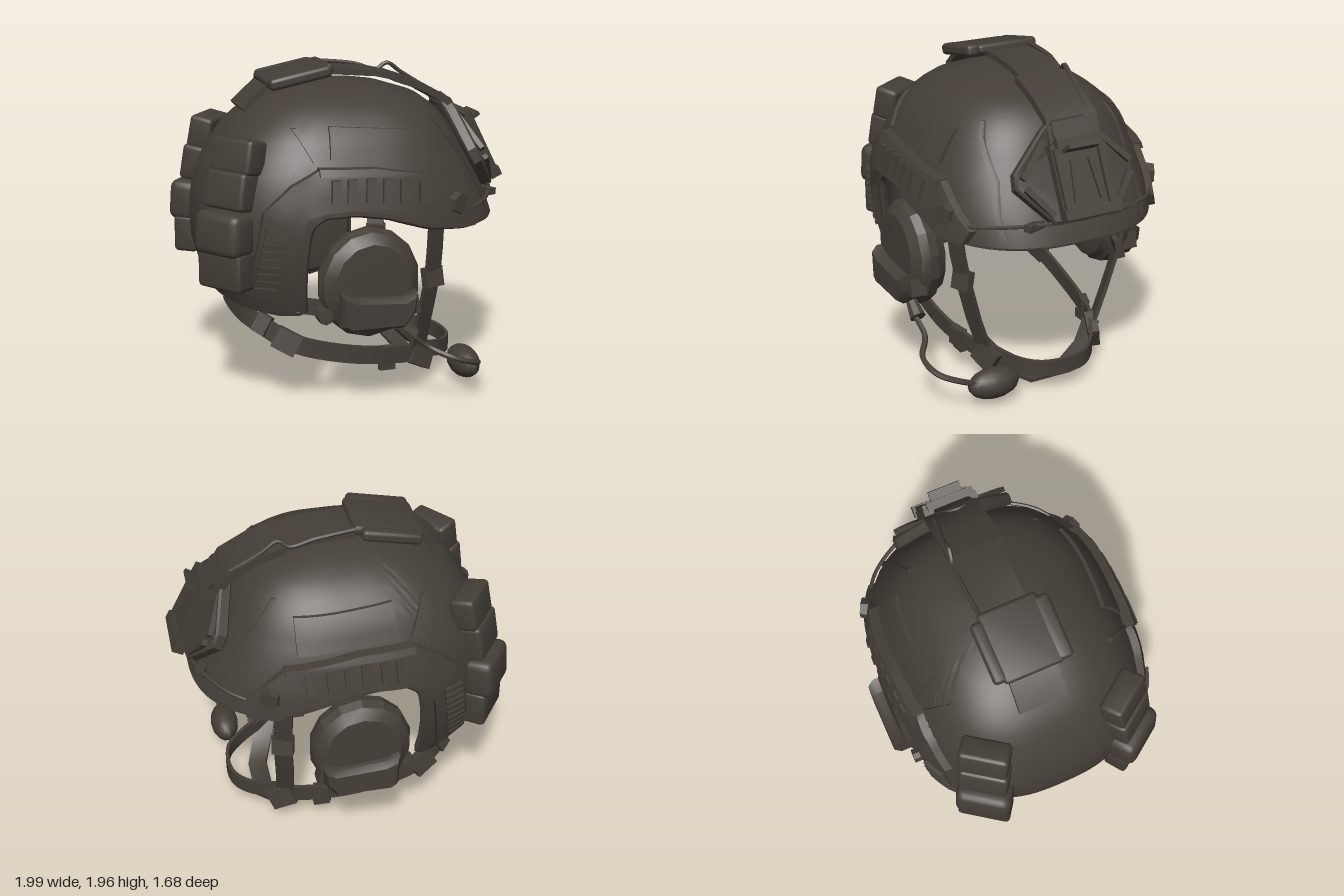
import * as THREE from 'three';
import { toCreasedNormals } from 'three/addons/utils/BufferGeometryUtils.js';
import { RoundedBoxGeometry } from 'three/addons/geometries/RoundedBoxGeometry.js';

const V = (p) => new THREE.Vector3(...p);
const TOP = 1.87, N = 2.65;

// Shell sections: height, back x, front x, half width
const SECTIONS = [
  [0.55, -0.76, 0.9, 0.66], [0.7, -0.84, 0.92, 0.69], [0.9, -0.9, 0.92, 0.72], [1.07, -0.91, 0.91, 0.73],
  [1.2, -0.9, 0.86, 0.725], [1.4, -0.84, 0.75, 0.68], [1.6, -0.71, 0.64, 0.585], [1.7, -0.6, 0.56, 0.5],
  [1.77, -0.49, 0.46, 0.41], [1.83, -0.33, 0.27, 0.27], [1.862, -0.17, 0.08, 0.13], [TOP, -0.03, -0.03, 0]];
// Lower edge height by x: neck guard, ear arch, brow
const RIM = [[-0.92, 0.655], [-0.8, 0.62], [-0.64, 0.6], [-0.49, 0.61], [-0.38, 1.12], [-0.3, 1.19],
  [-0.1, 1.2], [0.1, 1.17], [0.35, 1.09], [0.6, 1.06], [0.92, 1.06]];

function lookup(table, key) {
  let i = 0;
  while (i < table.length - 2 && key > table[i + 1][0]) i++;
  const a = table[i], b = table[i + 1];
  const t = THREE.MathUtils.clamp((key - a[0]) / (b[0] - a[0]), 0, 1);
  return a.slice(1).map((v, k) => v + (b[k + 1] - v) * t);
}
const spow = (v) => Math.sign(v) * Math.abs(v) ** (2 / N);
function shellPoint(angle, y, inset = 0) {
  const [xb, xf, w] = lookup(SECTIONS, y);
  const k = Math.max(0, 1 - inset / Math.max(w, 0.05));
  return [(xb + xf) / 2 + (xf - xb) / 2 * k * spow(Math.cos(angle)), y - inset * (y > 1.6 ? (y - 1.6) / 0.275 : 0),
    w * k * spow(Math.sin(angle))];
}
function shellZ(x, y) {
  const [xb, xf, w] = lookup(SECTIONS, y);
  const u = Math.min(1, Math.abs(x - (xb + xf) / 2) / ((xf - xb) / 2));
  return w * (1 - u ** N) ** (1 / N);
}
const rimAt = (angle) => lookup(RIM, shellPoint(angle, 1.07)[0])[0];

function build(positions, index) {
  const g = new THREE.BufferGeometry();
  g.setAttribute('position', new THREE.Float32BufferAttribute(positions, 3));
  g.setIndex(index);
  return g;
}

// Outer skin, rolled lower edge and inner skin as one surface
function shellGeometry() {
  const seg = 160, rows = 16, pos = [], idx = [], rings = 2 * rows + 2;
  for (let r = 0; r < rings; r++) {
    const inner = r > rows, s = (inner ? rings - 1 - r : r) / rows;
    for (let j = 0; j < seg; j++) {
      const a = j / seg * Math.PI * 2;
      pos.push(...shellPoint(a, TOP - (TOP - rimAt(a)) * s ** 1.8, inner ? 0.04 : 0));
    }
  }
  for (let r = 0; r < rings - 1; r++) for (let j = 0; j < seg; j++) {
    const a = r * seg + j, b = r * seg + (j + 1) % seg;
    idx.push(a, b, a + seg, b, b + seg, a + seg);
  }
  return build(pos, idx);
}

// Raised plate hugging the shell side; pairs are [inner, outer] edge points in x, y
function band(pairs, lift, cols = 4) {
  const n = pairs.length - 1;
  const g = new THREE.BoxGeometry(1, 1, 1, n * cols, 3, 1), p = g.attributes.position;
  for (let i = 0; i < p.count; i++) {
    const u = (p.getX(i) + 0.5) * n, k = Math.min(n - 1, Math.floor(u + 1e-6)), t = u - k, v = p.getY(i) + 0.5;
    const mix = (c) => {
      const lo = pairs[k][0][c] * (1 - t) + pairs[k + 1][0][c] * t;
      const hi = pairs[k][1][c] * (1 - t) + pairs[k + 1][1][c] * t;
      return lo + (hi - lo) * v;
    };
    const x = mix(0), y = mix(1);
    p.setXYZ(i, x, y, shellZ(x, y) + (p.getZ(i) > 0 ? lift : -0.015));
  }
  return g;
}
const rect = (x, y, w, h, lean = 0) => [
  [[x - w / 2, y - h / 2], [x - w / 2 + lean, y + h / 2]], [[x + w / 2, y - h / 2], [x + w / 2 + lean, y + h / 2]]];

// Flat webbing swept along points, widthDir across it
function strap(points, widthDir, w, t, smooth = 0) {
  let pts = points.map(V);
  if (smooth) pts = new THREE.CatmullRomCurve3(pts).getPoints(smooth);
  const pos = [], idx = [], W = V(widthDir).normalize();
  pts.forEach((p, i) => {
    const T = pts[Math.min(i + 1, pts.length - 1)].clone().sub(pts[Math.max(i - 1, 0)]).normalize();
    const across = W.clone().addScaledVector(T, -W.dot(T)).normalize(), nrm = T.clone().cross(across);
    for (const [a, b] of [[-1, -1], [1, -1], [1, 1], [-1, 1]])
      pos.push(...p.clone().addScaledVector(across, a * w / 2).addScaledVector(nrm, b * t / 2).toArray());
    if (i) for (let k = 0; k < 4; k++) {
      const a = (i - 1) * 4 + k, b = (i - 1) * 4 + (k + 1) % 4;
      idx.push(a, b, b + 4, a, b + 4, a + 4);
    }
  });
  const e = pos.length / 3 - 4;
  idx.push(0, 2, 1, 0, 3, 2, e, e + 1, e + 2, e, e + 2, e + 3);
  return build(pos, idx);
}
const tube = (points, r, n = 32) => new THREE.TubeGeometry(new THREE.CatmullRomCurve3(points.map(V)), n, r, 6);
const box = (x, y, z) => new THREE.BoxGeometry(x, y, z);
const soft = (x, y, z, r = 0.025) => new RoundedBoxGeometry(x, y, z, 2, r);
const mirrorPath = (half) => [...half, ...half.slice().reverse().map(([x, y, z]) => [x, y, -z])];

export function createModel() {
  const helmet = new THREE.Group();
  helmet.name = 'helmet';
  const olive = new THREE.MeshStandardMaterial({ color: 0x443e37 });
  olive.name = 'dark olive';
  const add = (parent, name, geo, pos = [0, 0, 0], rot = [0, 0, 0], crease = 0.6) => {
    const m = new THREE.Mesh(toCreasedNormals(geo, crease), olive);
    m.name = name;
    m.position.set(...pos);
    m.rotation.set(...rot, 'ZYX');
    parent.add(m);
    return m;
  };

  add(helmet, 'shell', shellGeometry());
  const rim = Array.from({ length: 120 }, (_, i) => {
    const a = i / 120 * Math.PI * 2;
    return V(shellPoint(a, rimAt(a), 0.02));
  });
  add(helmet, 'rimTrim', new THREE.TubeGeometry(new THREE.CatmullRomCurve3(rim, true), 200, 0.024, 6, true));

  for (const side of [1, -1]) {
    const half = new THREE.Group();
    half.name = side > 0 ? 'leftSide' : 'rightSide';
    half.scale.z = side;
    helmet.add(half);

    // Accessory rail with slots, rungs and bolt
    add(half, 'rail', band([[[-0.5, 0.67], [-0.71, 0.72]], [[-0.45, 1.05], [-0.63, 1.22]], [[-0.4, 1.19], [-0.47, 1.37]],
      [[-0.3, 1.22], [-0.32, 1.45]], [[0, 1.23], [0, 1.43]], [[0.4, 1.11], [0.42, 1.37]],
      [[0.47, 1.07], [0.6, 1.2]], [[0.64, 1.06], [0.67, 1.14]]], 0.045));
    [-0.24, -0.15, -0.04, 0.06, 0.16, 0.28].forEach((x) =>
      add(half, 'railSlot', band(rect(x, 1.335 - 0.1 * Math.max(0, x), 0.055, 0.13, 0.01), 0.07)));
    add(half, 'railLip', band([[[-0.32, 1.42], [-0.32, 1.46]], [[0, 1.41], [0, 1.45]], [[0.42, 1.34], [0.42, 1.38]]], 0.065));
    for (let i = 0; i < 9; i++)
      add(half, 'railRung', band(rect(-0.62 + i * 0.007, 0.76 + i * 0.046, 0.12, 0.026), 0.07));
    add(half, 'railBolt', new THREE.CylinderGeometry(0.06, 0.07, 0.06, 6), [0.51, 1.21, shellZ(0.51, 1.21) + 0.04], [Math.PI / 2, 0.5, 0]);

    // Fabric panel and raised shell seams
    add(half, 'sidePanel', band([[[-0.24, 1.5], [-0.22, 1.67]], [[0.34, 1.44], [0.34, 1.63]]], 0.022, 8));
    add(half, 'rearSeam', band([[[-0.31, 1.48], [-0.335, 1.48]], [[-0.4, 1.66], [-0.425, 1.66]]], 0.02));
    add(half, 'frontSeam', band([[[0.8, 1.1], [0.78, 1.1]], [[0.66, 1.4], [0.64, 1.4]], [[0.44, 1.69], [0.42, 1.69]]], 0.012));

    // Stacked rear pouches, facing back and outward
    const pouch = new THREE.Group();
    pouch.name = 'rearPouch';
    pouch.position.set(-0.78, 0, 0.45);
    pouch.rotation.y = -0.95;
    half.add(pouch);
    add(pouch, 'pouchUpper', soft(0.29, 0.2, 0.15), [0.02, 1.51, -0.06], [-0.2, 0, 0]);
    add(pouch, 'pouchMiddle', soft(0.29, 0.22, 0.15), [0.01, 1.32, -0.01], [-0.18, 0, 0]);
    add(pouch, 'pouchLower', soft(0.33, 0.25, 0.19, 0.05), [0, 1.08, 0.05], [-0.08, 0, 0]);
    add(pouch, 'pouchBase', soft(0.32, 0.23, 0.15), [0, 0.87, 0.04]);

    // Ear cup with battery housing
    const cup = new THREE.LatheGeometry([[0, 0.53], [0.17, 0.53], [0.26, 0.55], [0.29, 0.6], [0.31, 0.61], [0.32, 0.67],
      [0.3, 0.72], [0.24, 0.765], [0, 0.775]].map((q) => new THREE.Vector2(...q)), 14);
    cup.rotateX(Math.PI / 2);
    add(half, 'earCup', cup.scale(0.96, 1.03, 1), [-0.02, 0.775, 0], [0, 0, 0], 0.4);
    const house = new THREE.ExtrudeGeometry(new THREE.Shape([[-0.18, -0.08], [-0.15, -0.1], [0.16, -0.1], [0.22, -0.02],
      [0.23, 0.06], [0.17, 0.03], [-0.12, 0.05], [-0.19, 0.08]].map((q) => new THREE.Vector2(...q))),
    { depth: 0.12, bevelSize: 0.025, bevelThickness: 0.04, bevelSegments: 1 });
    add(half, 'batteryHousing', house, [-0.02, 0.65, 0.68]);
    add(half, 'cupKnob', new THREE.CylinderGeometry(0.045, 0.045, 0.1, 8), [-0.3, 0.61, 0.7], [Math.PI / 2, 0, 0]);
    add(half, 'cupHinge', box(0.08, 0.11, 0.1), [0.21, 0.65, 0.74], [0, 0, 0.2]);

    // Chin strap webbing and buckles
    add(half, 'frontStrap', strap([[0.42, 1.12, 0.59], [0.42, 0.9, 0.565], [0.42, 0.72, 0.53], [0.4, 0.45, 0.455], [0.39, 0.2, 0.37]], [0.92, 0, -0.38], 0.11, 0.022));
    add(half, 'strapBuckle', box(0.13, 0.12, 0.05), [0.42, 0.73, 0.535], [-0.2, 0.35, 0]);
    add(half, 'chinBuckle', box(0.16, 0.15, 0.07), [0.41, 0.19, 0.37], [-0.3, 0.3, -0.5]);
    add(half, 'sideBuckle', box(0.15, 0.13, 0.06), [-0.46, 0.39, 0.465], [0, -0.35, -0.5]);
    add(half, 'napeBuckle', box(0.09, 0.12, 0.05), [-0.59, 0.49, 0.4], [0, -0.7, -0.5]);
    add(half, 'strapSlider', box(0.1, 0.12, 0.05), [0.17, 0.23, 0.45], [0, 0.3, -0.12]);
    add(half, 'strapTail', box(0.1, 0.06, 0.04), [0.17, 0.17, 0.44]);

    // Elastic cord along the brow
    add(half, 'browCord', tube([[0.5, 1.14, shellZ(0.5, 1.14) + 0.03], [0.72, 1.17, shellZ(0.72, 1.17) + 0.03], [0.87, 1.19, 0.29], [0.92, 1.2, 0.13]], 0.012));
    add(half, 'cordClip', box(0.05, 0.04, 0.12), [0.85, 1.18, 0.3], [0, 0.35, 0]);
  }

  // Nape loop and chin straps
  add(helmet, 'napeStrap', strap(mirrorPath([[0.42, 0.2, 0.37], [0.2, 0.23, 0.44], [-0.1, 0.28, 0.48], [-0.42, 0.375, 0.47],
    [-0.59, 0.48, 0.4], [-0.66, 0.515, 0.28], [-0.68, 0.52, 0.1]]), [0.15, 1, 0], 0.11, 0.022, 56));
  add(helmet, 'chinStrap', strap(mirrorPath([[0.4, 0.22, 0.36], [0.58, 0.175, 0.25], [0.68, 0.165, 0.12]]), [0, 1, 0], 0.1, 0.022, 24));
  add(helmet, 'chinCup', strap(mirrorPath([[0.38, 0.24, 0.38], [0.43, 0.11, 0.29], [0.49, 0.03, 0.13]]), [1, -0.25, 0], 0.12, 0.022));

  // Boom microphone on the left cup
  add(helmet, 'micBoom', tube([[0.14, 0.52, 0.72], [0.2, 0.47, 0.75], [0.32, 0.37, 0.74], [0.46, 0.31, 0.82], [0.6, 0.26, 0.79],
    [0.67, 0.21, 0.66], [0.67, 0.17, 0.55]], 0.018, 40));
  add(helmet, 'micSocket', new THREE.CylinderGeometry(0.035, 0.05, 0.12, 8), [0.18, 0.49, 0.74], [0, 0, 0.9]);
  add(helmet, 'microphone', new THREE.SphereGeometry(1, 14, 10).scale(0.09, 0.095, 0.165), [0.66, 0.15, 0.46]);

  // Cover strap and battery pack over the crown
  add(helmet, 'crownStrap', strap([[-0.62, 1.715, -0.03], [-0.48, 1.84, -0.03], [-0.1, 1.92, -0.04], [0.2, 1.895, -0.04],
    [0.35, 1.86, -0.04]], [0, 0, 1], 0.29, 0.035));
  add(helmet, 'cableCover', strap([[0.32, 1.865, -0.03], [0.48, 1.81, -0.03], [0.66, 1.71, -0.03], [0.73, 1.58, -0.02]], [0, 0, 1], 0.33, 0.045));
  add(helmet, 'crownPack', soft(0.42, 0.06, 0.36), [-0.28, 1.905, -0.02], [0, 0, 0.2]);
  add(helmet, 'packEdge', soft(0.36, 0.07, 0.08), [-0.29, 1.9, -0.215], [0, 0, 0.2]);
  add(helmet, 'packEdge', soft(0.38, 0.07, 0.1), [-0.29, 1.9, 0.17], [0, 0, 0.2]);
  add(helmet, 'crownCable', tube([[-0.1, 1.95, -0.18], [0.15, 1.92, -0.19], [0.3, 1.88, -0.18], [0.36, 1.92, -0.17],
    [0.45, 1.86, -0.17], [0.64, 1.74, -0.15]], 0.014));

  // Front mount, tilted to the brow
  const mount = new THREE.Group();
  mount.name = 'frontMount';
  mount.position.set(0.8, 1.42, 0);
  mount.rotation.set(0, Math.PI / 2, 0.47, 'ZYX');
  helmet.add(mount);
  const outline = [[0, -0.25], [0.2, -0.24], [0.37, -0.02], [0.36, 0.06], [0.17, 0.26], [0.1, 0.32]];
  const plate = new THREE.ExtrudeGeometry(new THREE.Shape([...outline, ...outline.slice(1).reverse().map(([x, y]) => [-x, y])]
    .map((q) => new THREE.Vector2(...q))), { depth: 0.05, bevelSize: 0.012, bevelThickness: 0.012, bevelSegments: 1 });
  const pp = plate.attributes.position;
  for (let i = 0; i < pp.count; i++) pp.setZ(i, pp.getZ(i) - 0.025 - 0.4 * pp.getX(i) ** 2);
  add(mount, 'mountPlate', plate);
  add(mount, 'mountBase', box(0.34, 0.4, 0.05), [0, -0.02, 0.045]);
  for (const s of [-1, 1]) {
    add(mount, 'mountRail', box(0.045, 0.36, 0.035), [s * 0.14, -0.03, 0.08]);
    add(mount, 'mountGuide', box(0.025, 0.24, 0.025), [s * 0.07, -0.04, 0.075], [0, 0, s * 0.12]);
    add(mount, 'mountWing', box(0.035, 0.26, 0.03), [s * 0.26, 0.12, 0.01], [0, 0, s * 0.75]);
    add(mount, 'mountWing', box(0.035, 0.22, 0.03), [s * 0.27, -0.12, 0.01], [0, 0, -s * 0.65]);
  }
  add(mount, 'mountTop', box(0.28, 0.06, 0.05), [0, 0.17, 0.08]);
  add(mount, 'mountLatch', box(0.2, 0.025, 0.1), [0, 0.14, 0.11], [-0.1, 0, 0]);
  add(mount, 'mountFoot', box(0.36, 0.06, 0.07), [0, -0.22, 0.07]);
  add(mount, 'mountTab', new THREE.CylinderGeometry(0.12, 0.12, 0.05, 12), [0, 0.24, 0.02], [Math.PI / 2 - 0.2, 0, 0]);
  return helmet;
}
